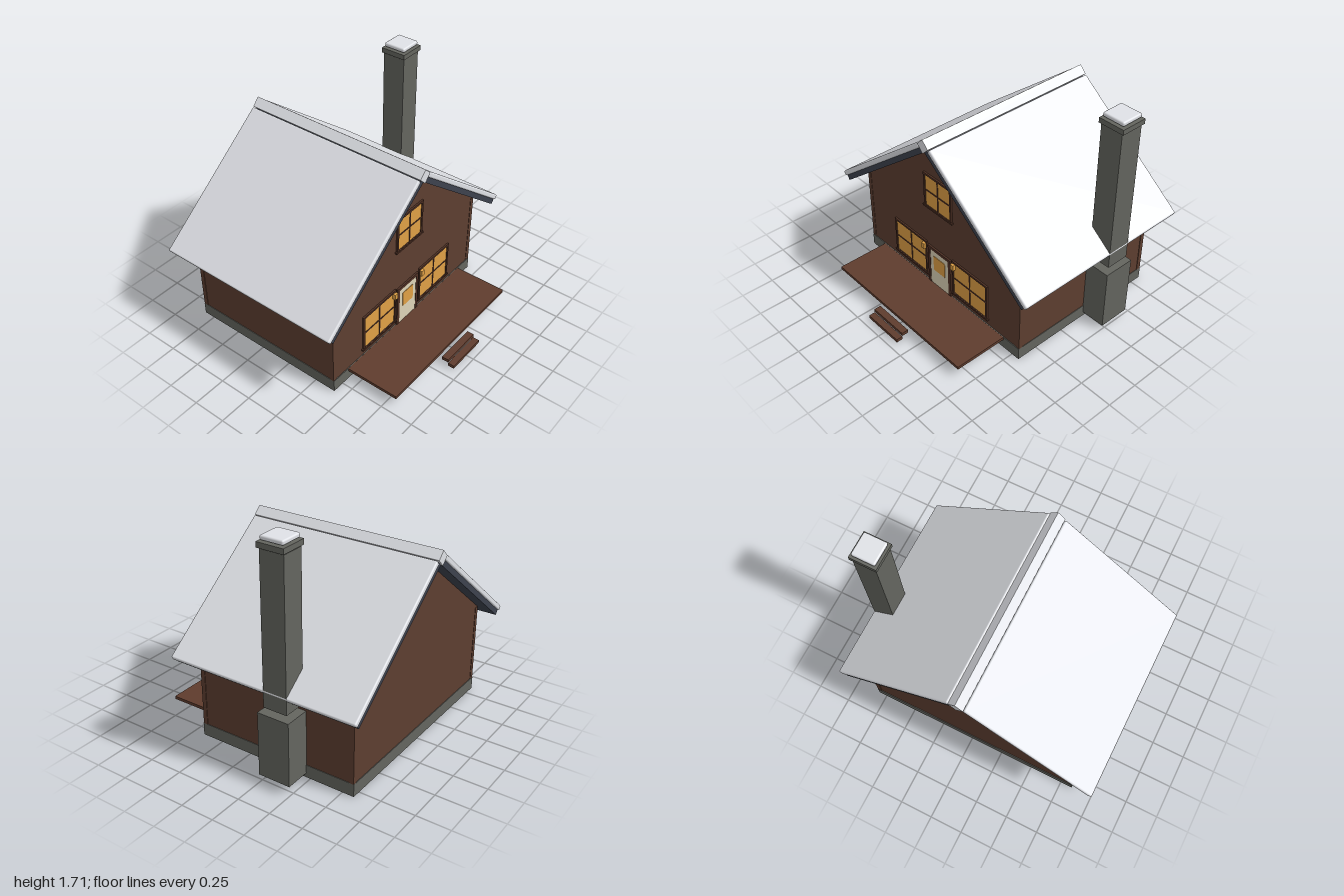
import * as THREE from 'three';
import { RoundedBoxGeometry } from 'three/addons/geometries/RoundedBoxGeometry.js';

const mat = (name, color) => {
  const m = new THREE.MeshStandardMaterial({ color });
  m.name = name;
  return m;
};

export function createModel() {
  const timber = mat('timber wall', 0x5d3e30);
  const trim = mat('dark trim', 0x4f3125);
  const deckWood = mat('deck wood', 0x5f3c2d);
  const stone = mat('stone', 0x64655f);
  const slate = mat('slate roof', 0x3d424e);
  const snow = mat('snow', 0xe3e5ea);
  const glow = mat('lit glass', 0xe0a146);
  const cream = mat('cream door', 0xded4b8);

  const model = new THREE.Group();
  model.name = 'cabin';
  // The house is symmetric about this line; everything inside is relative to it
  const house = new THREE.Group();
  house.name = 'house';
  house.position.x = -0.0135;
  model.add(house);

  const add = (name, geometry, material, parent = house) => {
    const mesh = new THREE.Mesh(geometry, material);
    mesh.name = name;
    parent.add(mesh);
    return mesh;
  };
  // Box given by its limits on each axis
  const box = (name, material, [x0, x1], [y0, y1], [z0, z1], parent = house, radius = 0) => {
    const size = [x1 - x0, y1 - y0, z1 - z0];
    const g = radius ? new RoundedBoxGeometry(...size, 2, radius) : new THREE.BoxGeometry(...size);
    g.translate((x0 + x1) / 2, (y0 + y1) / 2, (z0 + z1) / 2);
    return add(name, g, material, parent);
  };

  const front = 0.41, back = -0.832, halfWidth = 0.823;

  // Foundation and gabled walls
  box('foundation', stone, [-0.827, 0.827], [0.003, 0.097], [-0.837, 0.416]);
  const gable = new THREE.Shape([
    [-halfWidth, 0.097], [halfWidth, 0.097], [halfWidth, 0.7], [0, 1.345], [-halfWidth, 0.7],
  ].map(([x, y]) => new THREE.Vector2(x, y)));
  const walls = new THREE.ExtrudeGeometry(gable, { depth: front - back, bevelEnabled: false });
  walls.translate(0, 0, back);
  add('walls', walls, timber);

  // Corner boards
  for (const s of [-1, 1]) {
    for (const z of [back + 0.014, front - 0.014]) {
      box('cornerBoard', timber, [s * 0.81 - 0.017, s * 0.81 + 0.017], [0.097, 0.695], [z - 0.017, z + 0.017]);
    }
  }

  // Roof halves: slate slab below, rounded snow layer on top
  const pitch = THREE.MathUtils.degToRad(38);
  for (const s of [-1, 1]) {
    const half = new THREE.Group();
    half.name = s < 0 ? 'roofRight' : 'roofLeft';
    // Local x runs up the slope from the eave on the -x half, and down from it on the +x half
    half.position.set(s * 0.937, 0.608, 0);
    half.rotation.z = -s * pitch;
    const along = (a, b) => (s < 0 ? [a, b] : [-b, -a]);
    box('slateSlab', slate, along(0, 1.185), [0, 0.042], [-0.935, 0.512], half);
    box('snowLayer', snow, along(-0.012, 1.172), [0.04, 0.08], [-0.946, 0.522], half, 0.012);
    house.add(half);
  }
  const ridge = add('ridgeCap', new THREE.BoxGeometry(0.077, 0.077, 1.474), snow);
  ridge.position.set(0, 1.39, -0.212);
  ridge.rotation.z = Math.PI / 4;

  // Chimney
  const chimney = new THREE.Group();
  chimney.name = 'chimney';
  model.add(chimney);
  box('chimneyBase', stone, [0.81, 1], [0.035, 0.508], [-0.467, -0.223], chimney);
  box('chimneyShaft', stone, [0.803, 0.976], [0.545, 1.623], [-0.437, -0.256], chimney);
  box('chimneyCap', stone, [0.79, 0.992], [1.632, 1.67], [-0.447, -0.245], chimney);
  box('chimneySnow', snow, [0.803, 0.977], [1.677, 1.71], [-0.433, -0.259], chimney, 0.012);

  // Windows: lit pane, frame strips, cross bars and a sill
  const addWindow = (name, cx, cy, w, h) => {
    const g = new THREE.Group();
    g.name = name;
    g.position.set(cx, cy, front);
    house.add(g);
    const t = 0.016, z = [0, 0.013];
    box('pane', glow, [-w / 2, w / 2], [-h / 2, h / 2], [0, 0.006], g);
    for (const s of [-1, 1]) {
      const x = s * (w + t) / 2, y = s * (h + t) / 2;
      box('frameSide', trim, [x - t / 2, x + t / 2], [-h / 2, h / 2], z, g);
      box('frameRail', trim, [-w / 2 - t, w / 2 + t], [y - t / 2, y + t / 2], z, g);
    }
    box('barUpright', trim, [-0.005, 0.005], [-h / 2, h / 2], [0, 0.01], g);
    box('barAcross', trim, [-w / 2, w / 2], [-0.005, 0.005], [0, 0.01], g);
    box('sill', trim, [-w / 2 - 0.026, w / 2 + 0.026], [-h / 2 - 0.016, -h / 2 - 0.003], [0, 0.018], g);
  };
  addWindow('windowRight', -0.325, 0.297, 0.338, 0.276);
  addWindow('windowLeft', 0.325, 0.297, 0.338, 0.276);
  addWindow('windowUpper', 0.002, 0.925, 0.258, 0.256);

  // Door with frame and lit pane
  for (const s of [-1, 1]) {
    box('doorPost', trim, [s * 0.111 - 0.013, s * 0.111 + 0.013], [0.097, 0.434], [front, front + 0.014]);
  }
  box('doorLintel', trim, [-0.098, 0.098], [0.41, 0.434], [front, front + 0.014]);
  box('door', cream, [-0.098, 0.098], [0.097, 0.41], [front, front + 0.011]);
  box('doorPane', glow, [-0.061, 0.061], [0.237, 0.364], [front + 0.011, front + 0.015]);

  // Wall lanterns beside the door
  for (const s of [-1, 1]) {
    box('lantern', glow, [s * 0.16 - 0.015, s * 0.16 + 0.015], [0.385, 0.432], [front, 0.441]);
  }

  // Deck and two steps
  box('deck', deckWood, [-0.674, 0.674], [0.073, 0.096], [0.4, 0.827]);
  box('upperStep', deckWood, [-0.161, 0.161], [0.048, 0.073], [0.848, 0.9]);
  box('lowerStep', deckWood, [-0.161, 0.161], [0.018, 0.043], [0.9, 0.949]);

  return model;
}
